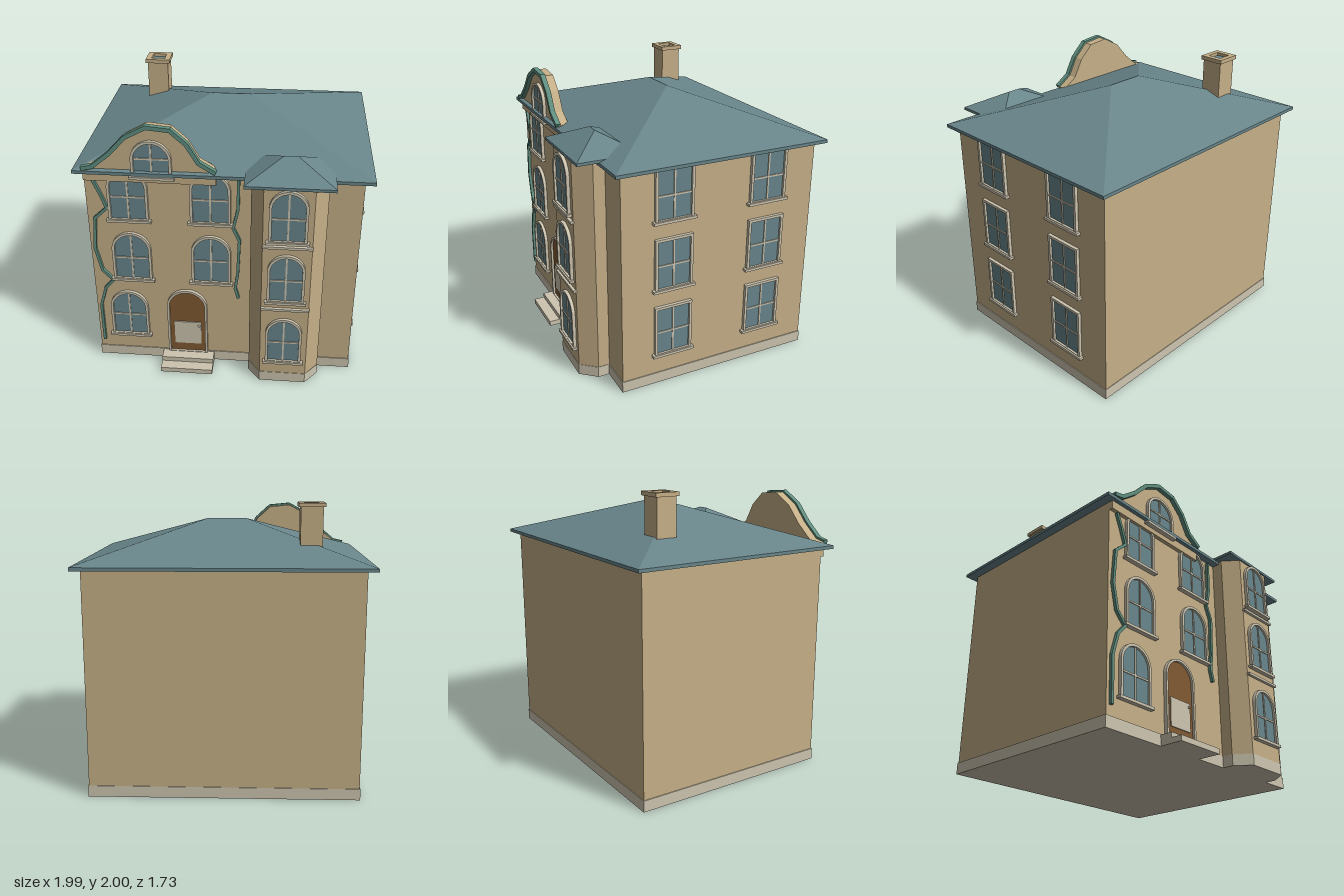
import * as THREE from 'three';

const mat = (name, color) => {
  const m = new THREE.MeshStandardMaterial({ color });
  m.name = name;
  return m;
};

export function createModel() {
  const wall = mat('sandstone wall', 0xc6b088);
  const roof = mat('slate roof', 0x69868b);
  const trim = mat('cream trim', 0xcdc5b0);
  const glass = mat('window glass', 0x68868c);
  const wood = mat('door wood', 0x805a32);
  const vine = mat('green trim', 0x618f80);

  const house = new THREE.Group();
  house.name = 'house';

  const add = (name, geo, material, parent = house) => {
    const mesh = new THREE.Mesh(geo, material);
    mesh.name = name;
    parent.add(mesh);
    return mesh;
  };
  // Box given by its min and max on each axis
  const box = (name, material, x0, x1, y0, y1, z0, z1, parent) => {
    const geo = new THREE.BoxGeometry(x1 - x0, y1 - y0, z1 - z0);
    geo.translate((x0 + x1) / 2, (y0 + y1) / 2, (z0 + z1) / 2);
    return add(name, geo, material, parent);
  };
  const extrude = (shape, depth, z = 0) => {
    const geo = new THREE.ExtrudeGeometry(shape, { depth, bevelEnabled: false, curveSegments: 14 });
    return geo.translate(0, 0, z);
  };
  const polygon = (pts) => new THREE.Shape(pts.map(([x, y]) => new THREE.Vector2(x, y)));

  // Opening outline standing on y0, arched or square at the top
  const opening = (w, h, arched, y0 = 0, Type = THREE.Shape) => {
    const r = w / 2, s = new Type();
    s.moveTo(-r, y0);
    s.lineTo(r, y0);
    if (arched) {
      s.lineTo(r, h - r);
      s.absarc(0, h - r, r, 0, Math.PI, false);
    } else {
      s.lineTo(r, h);
      s.lineTo(-r, h);
    }
    s.lineTo(-r, y0);
    return s;
  };

  // Mitred strip following a polyline in the xy plane
  const ribbon = (pts, width, depth, z) => {
    const v = pts.map(([x, y]) => new THREE.Vector2(x, y));
    const normal = (a, b) => {
      const d = b.clone().sub(a).normalize();
      return new THREE.Vector2(-d.y, d.x);
    };
    const left = [], right = [];
    v.forEach((p, i) => {
      const n0 = normal(v[Math.max(i - 1, 0)], v[Math.max(i, 1)]);
      const last = v.length - 1;
      const n1 = normal(v[Math.min(i, last - 1)], v[Math.min(i + 1, last)]);
      const n = n0.clone().add(n1).normalize();
      n.multiplyScalar(width / 2 / n.dot(n0));
      left.push(p.clone().add(n));
      right.unshift(p.clone().sub(n));
    });
    return extrude(new THREE.Shape([...left, ...right]), depth, z);
  };

  // Hipped roof: a thin eaves slab rising to a short ridge
  const hipRoof = (x0, x1, z0, z1, yb, yt, rx0, rx1, rz, ry) => {
    const c = [[x0, z1], [x1, z1], [x1, z0], [x0, z0]];
    const B = c.map(([x, z]) => [x, yb, z]);
    const T = c.map(([x, z]) => [x, yt, z]);
    const R0 = [rx0, ry, rz], R1 = [rx1, ry, rz];
    const out = [];
    const quad = (a, b, d, e) => out.push(...a, ...b, ...d, ...a, ...d, ...e);
    for (let i = 0; i < 4; i++) {
      const j = (i + 1) % 4;
      quad(B[i], B[j], T[j], T[i]);
    }
    quad(B[3], B[2], B[1], B[0]);
    quad(T[0], T[1], R1, R0);
    quad(T[2], T[3], R0, R1);
    out.push(...T[1], ...T[2], ...R1, ...T[3], ...T[0], ...R0);
    const geo = new THREE.BufferGeometry();
    geo.setAttribute('position', new THREE.Float32BufferAttribute(out, 3));
    geo.computeVertexNormals();
    return geo;
  };

  // Window with frame, glass, glazing bars and sill, facing +z
  const makeWindow = (name, w, h, barY, arched) => {
    const g = new THREE.Group();
    g.name = name;
    const f = 0.019;
    const ring = opening(w, h, arched);
    ring.holes.push(opening(w - 2 * f, h - f, arched, 0.008, THREE.Path));
    add('windowFrame', extrude(ring, 0.023), trim, g);
    add('windowGlass', extrude(opening(w - f, h - f / 2, arched), 0.007), glass, g);
    box('verticalBar', trim, -0.006, 0.006, 0, h - f, 0, 0.013, g);
    box('horizontalBar', trim, -w / 2 + f, w / 2 - f, barY - 0.006, barY + 0.006, 0, 0.013, g);
    box('windowSill', trim, -w / 2 - 0.016, w / 2 + 0.016, -0.015, 0.004, -0.005, 0.034, g);
    house.add(g);
    return g;
  };

  // Main block and plinth
  const front = 0.637;
  box('mainWalls', wall, -0.932, 0.932, 0.08, 1.59, -0.81, front);
  box('plinth', trim, -0.938, 0.938, 0, 0.08, -0.814, 0.642);

  // Bay with chamfered corners
  const bay = (grow) => polygon([
    [0.195 - grow, -0.5], [0.195 - grow, -0.718 - grow], [0.28, -0.829 - grow],
    [0.61, -0.829 - grow], [0.70 + grow, -0.718 - grow], [0.70 + grow, -0.5],
  ]);
  const bayWalls = add('bayWalls', extrude(bay(0), 1.53), wall);
  bayWalls.rotation.x = -Math.PI / 2;
  bayWalls.position.y = 0.08;
  add('bayPlinth', extrude(bay(0.003), 0.08), trim).rotation.x = -Math.PI / 2;

  // Roofs
  add('mainRoof', hipRoof(-0.995, 0.995, -0.867, 0.692, 1.58, 1.603, -0.14, 0.14, -0.088, 1.868), roof);
  add('bayRoof', hipRoof(0.152, 0.74, 0.39, 0.84, 1.6, 1.62, 0.4, 0.49, 0.615, 1.733), roof);

  // Chimney with open cap
  box('chimney', wall, -0.662, -0.51, 1.66, 1.975, -0.533, -0.385);
  const capShape = polygon([[-0.09, -0.087], [0.09, -0.087], [0.09, 0.087], [-0.09, 0.087]]);
  capShape.holes.push(opening(0.1, 0.05, false, -0.05, THREE.Path));
  const cap = add('chimneyCap', extrude(capShape, 0.028), wall);
  cap.rotation.x = -Math.PI / 2;
  cap.position.set(-0.586, 1.972, -0.46);
  box('chimneyFlue', roof, -0.637, -0.535, 1.974, 1.979, -0.511, -0.409);

  // Curved gable with its coping
  const curve = [
    [-0.93, 1.62], [-0.855, 1.637], [-0.735, 1.735], [-0.625, 1.855], [-0.485, 1.93],
    [-0.33, 1.915], [-0.225, 1.82], [-0.15, 1.69], [-0.04, 1.622],
  ];
  add('gableWall', extrude(polygon([[-0.93, 1.52], ...curve, [-0.04, 1.52]].reverse()), 0.067, 0.598), wall);
  add('gableCoping', ribbon(curve, 0.028, 0.036, 0.66), vine);
  makeWindow('gableWindow', 0.27, 0.262, 0.13, true).position.set(-0.463, 1.57, 0.665);

  // Front windows
  for (const [x, y] of [[-0.69, 0.22], [-0.643, 0.725], [-0.083, 0.725], [-0.643, 1.217], [-0.083, 1.217]]) {
    makeWindow('frontWindow', 0.277, 0.387, 0.178, true).position.set(x, y, front);
  }
  // Bay windows and string courses
  for (const y of [0.2, 0.733, 1.218]) {
    makeWindow('bayWindow', 0.255, 0.38, 0.172, true).position.set(0.445, y, 0.829);
  }
  for (const y of [0.663, 1.173]) box('bayLedge', trim, 0.277, 0.613, y - 0.009, y + 0.009, 0.815, 0.85);

  // Square windows on the left side wall
  for (const z of [0.266, -0.439]) {
    for (const y of [0.232, 0.73, 1.222]) {
      const w = makeWindow('sideWindow', 0.277, 0.368, 0.17, false);
      w.position.set(0.932, y, z);
      w.rotation.y = Math.PI / 2;
    }
  }

  // Arched door, panel, knob and steps
  const door = new THREE.Group();
  door.name = 'frontDoor';
  door.position.set(-0.264, 0.08, front);
  const surround = opening(0.292, 0.562, true);
  surround.holes.push(opening(0.258, 0.545, true, 0.004, THREE.Path));
  add('doorFrame', extrude(surround, 0.026), trim, door);
  add('doorLeaf', extrude(opening(0.272, 0.552, true), 0.009), wood, door);
  box('doorPanel', trim, -0.097, 0.1, 0.075, 0.275, 0.009, 0.017, door);
  add('doorKnob', new THREE.SphereGeometry(0.009, 12, 8), trim, door).position.set(0.084, 0.245, 0.021);
  house.add(door);
  box('lowerStep', trim, -0.452, -0.07, 0, 0.038, 0.6, 0.808);
  box('upperStep', trim, -0.452, -0.07, 0.038, 0.074, 0.6, 0.73);

  // Climbing stems
  add('rightStem', ribbon([
    [-0.87, 1.515], [-0.83, 1.42], [-0.79, 1.305], [-0.88, 1.22], [-0.9, 0.97], [-0.863, 0.79],
    [-0.788, 0.705], [-0.853, 0.63], [-0.898, 0.475], [-0.898, 0.15],
  ], 0.02, 0.022, front), vine);
  add('leftStem', ribbon([
    [0.108, 1.565], [0.104, 1.33], [0.072, 1.187], [0.115, 1.09], [0.104, 0.8], [0.087, 0.685], [0.11, 0.6],
  ], 0.02, 0.022, front), vine);

  return house;
}
